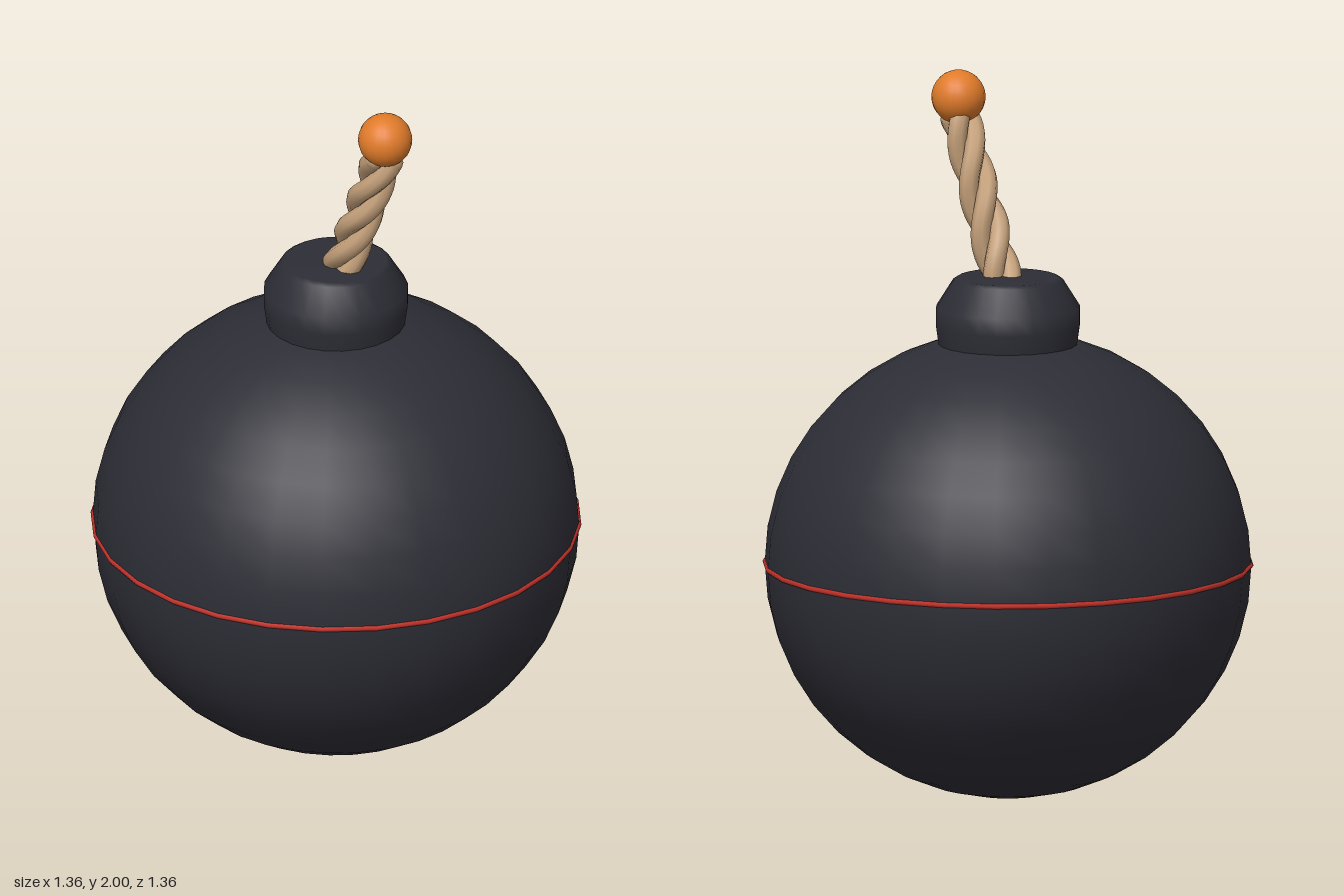
import * as THREE from 'three';

const mat = (name, color) => {
  const m = new THREE.MeshStandardMaterial({ color });
  m.name = name;
  return m;
};

export function createModel() {
  const iron = mat('dark iron', 0x2d2d36);
  const red = mat('seam red', 0xc0322a);
  const hemp = mat('rope tan', 0xc4a07a);
  const orange = mat('ember orange', 0xe07b2a);

  const model = new THREE.Group();
  const add = (name, geometry, material, y = 0, parent = model) => {
    const mesh = new THREE.Mesh(geometry, material);
    mesh.name = name;
    mesh.position.y = y;
    parent.add(mesh);
    return mesh;
  };

  // Slightly squashed round body
  const body = add('body', new THREE.SphereGeometry(0.673, 28, 20), iron, 0.648);
  body.scale.y = 0.648 / 0.673;

  // Thin seam around the widest line
  add('seam', new THREE.TorusGeometry(0.671, 0.008, 6, 28).rotateX(Math.PI / 2), red, 0.65);

  // Rounded collar on top
  const collar = [[0.185, 1.22], [0.193, 1.27], [0.2, 1.32], [0.2, 1.37], [0.153, 1.445], [0.14, 1.453], [0, 1.456]]
    .map(([r, y]) => new THREE.Vector2(r, y));
  add('collar', new THREE.LatheGeometry(collar, 24), iron);

  // Leaning fuse of three twisted strands
  const fuse = new THREE.Group();
  fuse.name = 'fuse';
  model.add(fuse);
  const start = new THREE.Vector3(0.015, 1.41, 0);
  const end = new THREE.Vector3(0.228, 1.87, 0);
  const axis = end.clone().sub(start).normalize();
  const side = new THREE.Vector3(axis.y, -axis.x, 0);
  const strands = 3, turns = 1.25, steps = 20;
  for (let s = 0; s < strands; s++) {
    const points = [];
    for (let i = 0; i <= steps; i++) {
      const t = i / steps;
      const a = Math.PI + 2 * Math.PI * (s / strands - turns * t);
      const p = start.clone().lerp(end, t).addScaledVector(side, 0.03 * Math.cos(a));
      p.z = 0.03 * Math.sin(a);
      points.push(p);
    }
    const path = new THREE.CatmullRomCurve3(points);
    add('fuseStrand', new THREE.TubeGeometry(path, 36, 0.029, 8), hemp, 0, fuse);
    // Rounded end closing the strand at the top
    add('strandEnd', new THREE.SphereGeometry(0.029, 8, 6), hemp, 0, fuse).position.copy(points[steps]);
  }

  // Glowing tip
  add('ember', new THREE.SphereGeometry(0.075, 20, 16), orange, 1.925).position.x = 0.235;

  return model;
}
